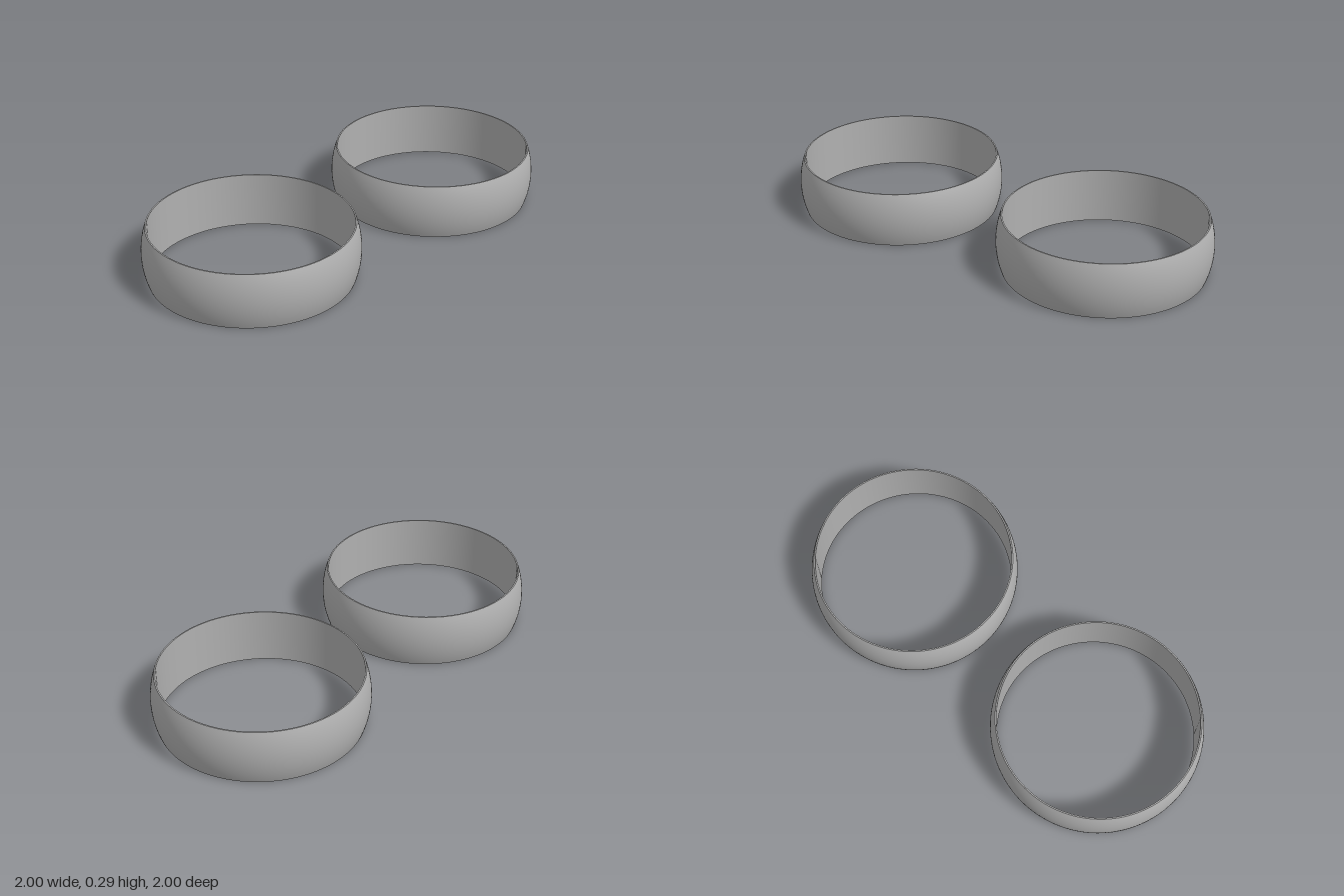
import * as THREE from 'three';

const HEIGHT = 0.29;
const OUTER = 0.545; // radius at the middle of the domed face
const EDGE = 0.519;  // radius where the dome meets the rim
const INNER = 0.512; // bore radius
const SEGMENTS = 128;

const metal = new THREE.MeshStandardMaterial({ color: 0xb0b0b0 });
metal.name = 'grey metal';

// One surface of revolution; separate surfaces keep the rim edges sharp
function surface(name, points) {
  const mesh = new THREE.Mesh(new THREE.LatheGeometry(points, SEGMENTS), metal);
  mesh.name = name;
  return mesh;
}

function createBand(name) {
  const band = new THREE.Group();
  band.name = name;
  const v = (r, y) => new THREE.Vector2(r, y);

  // Domed outside: a shallow circular arc from the bottom edge to the top edge
  const half = HEIGHT / 2;
  const rise = OUTER - EDGE;
  const arcRadius = (half * half + rise * rise) / (2 * rise);
  const sweep = Math.asin(half / arcRadius);
  const dome = [];
  for (let i = 0; i <= 16; i++) {
    const a = sweep * (i / 8 - 1);
    dome.push(v(OUTER - arcRadius * (1 - Math.cos(a)), half + arcRadius * Math.sin(a)));
  }

  band.add(
    surface('domedOutside', dome),
    surface('topRim', [v(EDGE, HEIGHT), v(INNER, HEIGHT)]),
    surface('straightInside', [v(INNER, HEIGHT), v(INNER, 0)]),
    surface('bottomRim', [v(INNER, 0), v(EDGE, 0)])
  );
  return band;
}

export function createModel() {
  const model = new THREE.Group();
  model.name = 'pairOfRings';
  // Two equal rings placed diagonally
  for (const [name, side] of [['frontRing', -1], ['backRing', 1]]) {
    const band = createBand(name);
    band.position.set(side * (1 - OUTER), 0, -side * (1 - OUTER));
    model.add(band);
  }
  return model;
}
